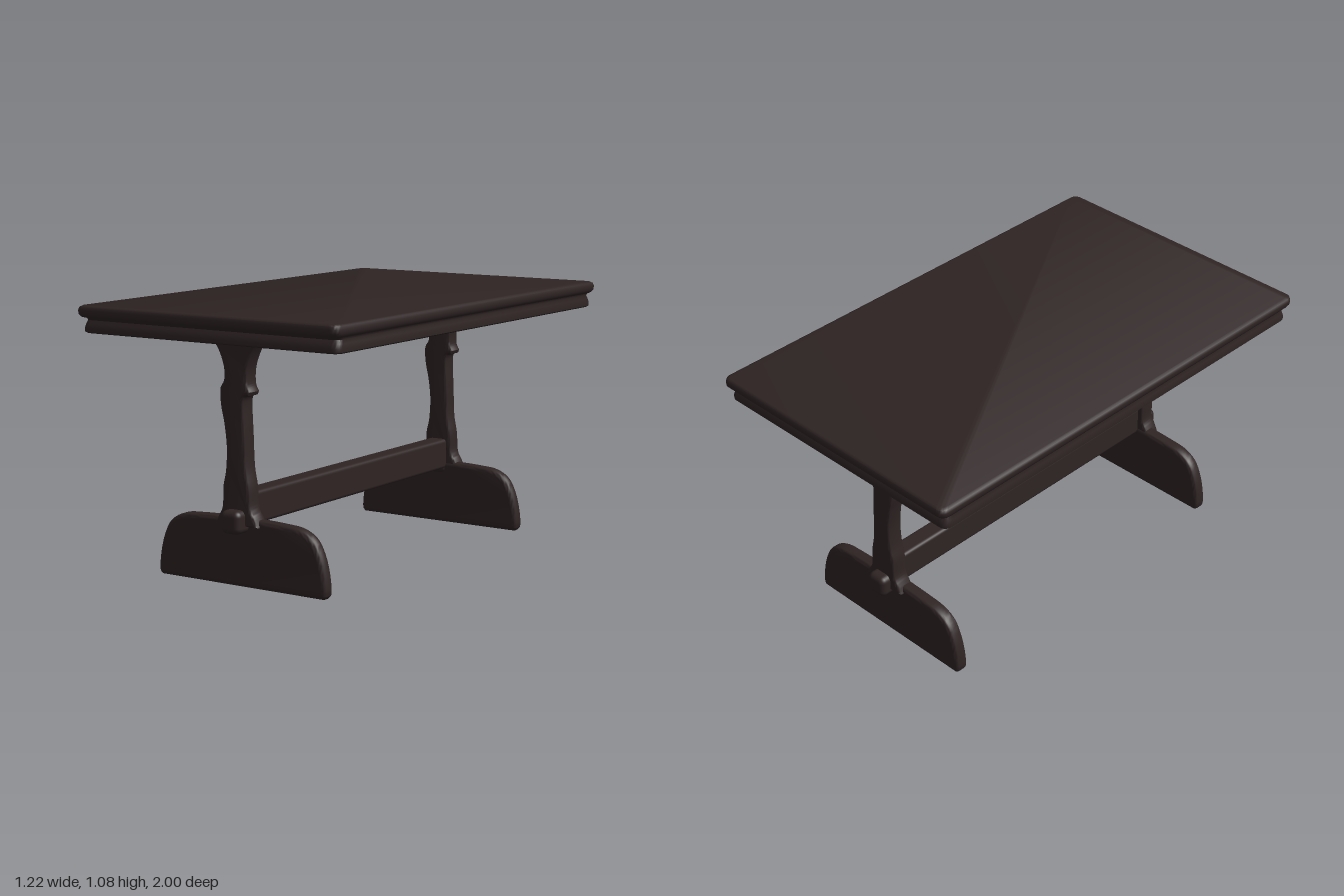
import * as THREE from 'three';
import { toCreasedNormals } from 'three/addons/utils/BufferGeometryUtils.js';
import { RoundedBoxGeometry } from 'three/addons/geometries/RoundedBoxGeometry.js';

// Closed outline: straight base, splined side runs
function outline(...runs) {
  const pts = runs.flatMap(run =>
    new THREE.SplineCurve(run.map(([x, y]) => new THREE.Vector2(x, y))).getPoints(run.length * 4));
  return new THREE.Shape(pts);
}

// Plate of the given thickness, centred on z, with rounded edges inside the outline
function plate(shape, thickness, bevel) {
  const g = new THREE.ExtrudeGeometry(shape, {
    depth: thickness - 2 * bevel, bevelEnabled: true, bevelThickness: bevel,
    bevelSize: bevel, bevelOffset: -bevel, bevelSegments: 4,
  });
  g.translate(0, 0, -thickness / 2 + bevel);
  return toCreasedNormals(g, 0.8);
}

// Moulded slab: rounded rectangles stacked along a profile of [halfX, halfZ, y]
function mouldedSlab(profile, radius) {
  const pos = [], idx = [], steps = 6, n = 4 * (steps + 1);
  for (const [hx, hz, y] of profile) {
    for (let c = 0; c < 4; c++) {
      const sx = c === 0 || c === 3 ? 1 : -1, sz = c < 2 ? 1 : -1;
      for (let i = 0; i <= steps; i++) {
        const a = (c + i / steps) * Math.PI / 2;
        pos.push(sx * (hx - radius) + radius * Math.cos(a), y, sz * (hz - radius) + radius * Math.sin(a));
      }
    }
  }
  for (let r = 0; r < profile.length - 1; r++) {
    for (let i = 0; i < n; i++) {
      const a = r * n + i, b = r * n + (i + 1) % n;
      idx.push(a, a + n, b, b, a + n, b + n);
    }
  }
  // Flat underside and upper face
  const last = (profile.length - 1) * n;
  for (let i = 1; i < n - 1; i++) {
    idx.push(0, i, i + 1);
    idx.push(last, last + i + 1, last + i);
  }
  const g = new THREE.BufferGeometry();
  g.setAttribute('position', new THREE.Float32BufferAttribute(pos, 3));
  g.setIndex(idx);
  return toCreasedNormals(g, 0.8);
}

export function createModel() {
  const model = new THREE.Group();
  model.name = 'trestleTable';
  const wood = new THREE.MeshStandardMaterial({ color: 0x2f2424 });
  wood.name = 'darkWood';
  const add = (name, geometry, parent, x = 0, y = 0, z = 0) => {
    const mesh = new THREE.Mesh(geometry, wood);
    mesh.name = name;
    mesh.position.set(x, y, z);
    parent.add(mesh);
  };

  // Table top with a cove between its two mouldings
  add('tableTop', mouldedSlab([
    [0.588, 0.967, 0.972], [0.596, 0.975, 0.977], [0.597, 0.976, 0.99],
    [0.594, 0.97, 1.008], [0.59, 0.963, 1.022], [0.592, 0.968, 1.03],
    [0.601, 0.99, 1.036], [0.607, 0.999, 1.046], [0.608, 1.0, 1.062],
    [0.604, 0.997, 1.074], [0.594, 0.988, 1.08],
  ], 0.03), model);

  // Post outline, flared under the top with a carved bump and spur
  const post = plate(outline(
    [[0.1, 0.25], [0.085, 0.283], [0.066, 0.32], [0.06, 0.4], [0.046, 0.48], [0.041, 0.6],
      [0.036, 0.72], [0.044, 0.752], [0.062, 0.756]],
    [[0.068, 0.77], [0.054, 0.8], [0.056, 0.86], [0.08, 0.925], [0.118, 0.98]],
    [[-0.125, 0.98], [-0.08, 0.925], [-0.055, 0.86], [-0.055, 0.81], [-0.073, 0.775],
      [-0.07, 0.71], [-0.055, 0.64], [-0.045, 0.55], [-0.05, 0.46], [-0.063, 0.4],
      [-0.067, 0.32], [-0.085, 0.283], [-0.1, 0.25]],
  ), 0.073, 0.012);

  // Broad foot board with shouldered ends
  const side = [[0.385, 0.005], [0.399, 0.025], [0.394, 0.09], [0.375, 0.165],
    [0.34, 0.228], [0.28, 0.262], [0.2, 0.271], [0.08, 0.276]];
  const foot = plate(outline(side, side.map(([x, y]) => [-x, y]).reverse()), 0.058, 0.018);
  const tenon = new RoundedBoxGeometry(0.09, 0.092, 0.13, 4, 0.025);

  // Two trestles
  for (const [name, postZ, footZ, tenonZ] of [
    ['frontTrestle', 0.757, 0.744, 0.775], ['backTrestle', -0.727, -0.715, -0.742],
  ]) {
    const trestle = new THREE.Group();
    trestle.name = name;
    model.add(trestle);
    add('post', post, trestle, 0, 0, postZ);
    add('foot', foot, trestle, 0, 0, footZ);
    add('tenon', tenon, trestle, 0, 0.268, tenonZ);
  }

  // Long stretcher joining the trestles
  add('stretcher', new RoundedBoxGeometry(0.085, 0.13, 1.46, 3, 0.015), model, 0, 0.312, 0.015);
  return model;
}
